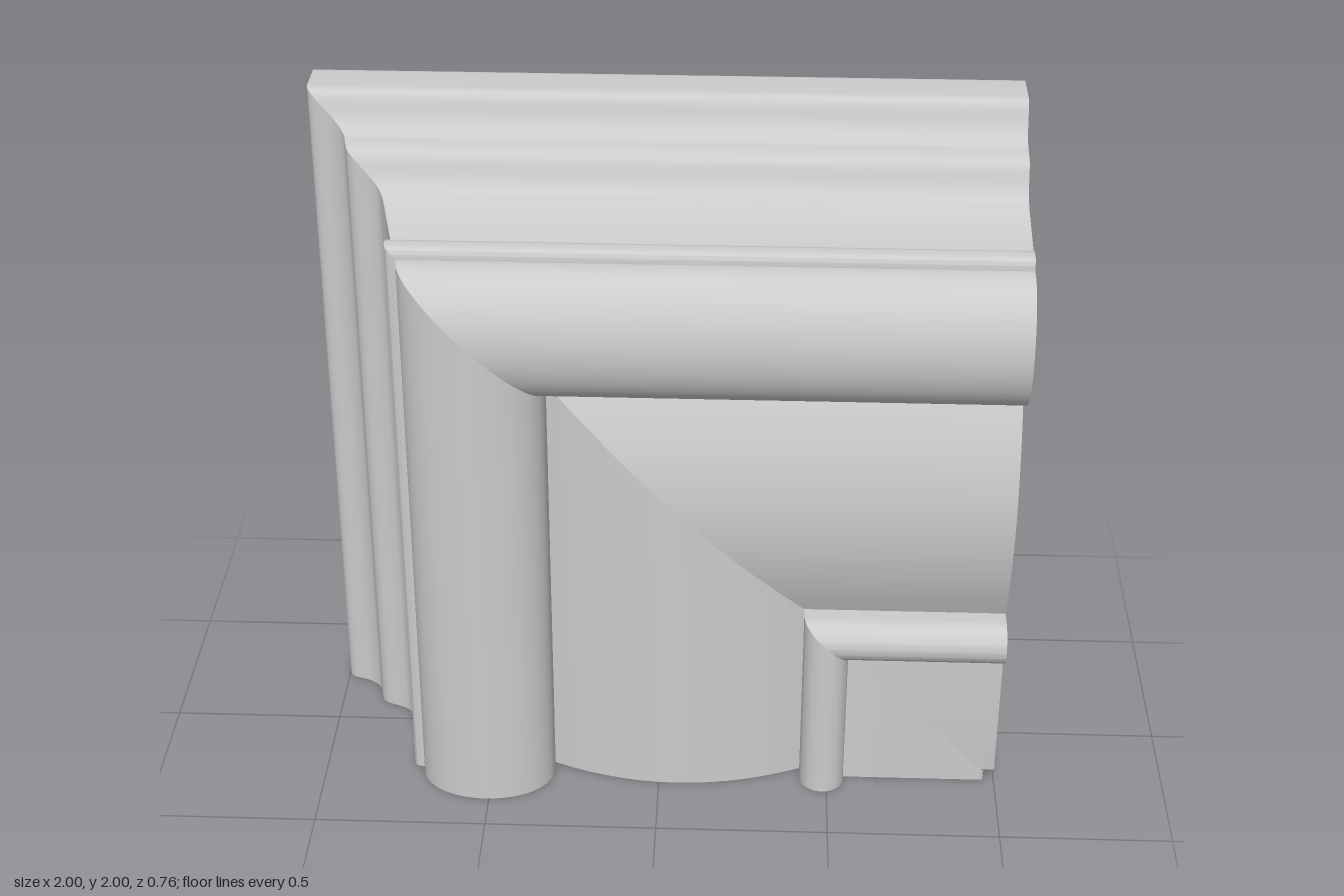
import * as THREE from 'three';
import { toCreasedNormals } from 'three/addons/utils/BufferGeometryUtils.js';

const WALL = 0.012;

// Moulding cross-section: x = distance from the outer edge, y = depth towards the front
function mouldingProfile() {
  const s = new THREE.Shape();
  s.moveTo(0, -0.35);
  s.lineTo(0, -0.25);
  // stepped ogee on the outer edge
  s.bezierCurveTo(0, -0.2, 0.05, -0.215, 0.085, -0.185);
  s.bezierCurveTo(0.12, -0.16, 0.11, -0.14, 0.118, -0.12);
  s.bezierCurveTo(0.125, -0.07, 0.16, -0.08, 0.2, -0.055);
  s.bezierCurveTo(0.225, -0.04, 0.225, -0.015, 0.233, 0);
  s.lineTo(0.271, 0.16);
  // small lip
  s.bezierCurveTo(0.272, 0.175, 0.26, 0.175, 0.26, 0.19);
  s.bezierCurveTo(0.26, 0.225, 0.263, 0.235, 0.295, 0.235);
  // large rounded moulding
  s.absellipse(0.49, 0.245, 0.195, 0.138, Math.PI, 0, true);
  s.lineTo(0.685, 0.2);
  // gently bowed panel
  s.quadraticCurveTo(1.05, 0.37, 1.42, 0.2);
  // bead
  s.absellipse(1.485, 0.245, 0.065, 0.065, Math.PI, 0, true);
  // flat inner strip, inner edge and back
  s.lineTo(1.55, 0.235);
  s.lineTo(1.955, 0.235);
  s.quadraticCurveTo(1.97, 0.235, 1.97, 0.22);
  s.lineTo(1.97, -0.36);
  s.quadraticCurveTo(1.97, -0.38, 1.95, -0.38);
  s.lineTo(0.03, -0.38);
  s.quadraticCurveTo(0, -0.38, 0, -0.35);
  const pts = s.getPoints(14);
  return pts.filter((p, i) => p.distanceTo(pts[(i + 1) % pts.length]) > 1e-4);
}

// Shifts a closed outline inwards by the wall thickness
function inset(pts, amount) {
  const n = pts.length;
  const side = (a, b) => new THREE.Vector2(b.y - a.y, a.x - b.x).normalize();
  return pts.map((p, i) => {
    const n1 = side(pts[(i + n - 1) % n], p);
    const n2 = side(p, pts[(i + 1) % n]);
    const m = n1.clone().add(n2).normalize();
    return p.clone().addScaledVector(m, amount / Math.max(0.6, m.dot(n1)));
  });
}

// Hollow rail, open at both ends; place() maps section and length to the mitred position
function rail(name, place, material) {
  const outline = mouldingProfile();
  const shape = new THREE.Shape(outline);
  shape.holes.push(new THREE.Path(inset(outline, WALL)));
  const geo = new THREE.ExtrudeGeometry(shape, { depth: 1, bevelEnabled: false, steps: 1 });
  const pos = geo.attributes.position;
  for (let i = 0; i < pos.count; i++) {
    pos.setXYZ(i, ...place(pos.getX(i), pos.getY(i), pos.getZ(i)));
  }
  const mesh = new THREE.Mesh(toCreasedNormals(geo, 0.6), material);
  mesh.name = name;
  return mesh;
}

export function createModel() {
  const group = new THREE.Group();
  group.name = 'mitredFrameCorner';
  const material = new THREE.MeshStandardMaterial({ color: 0xcccccc, side: THREE.DoubleSide });
  // both rails shorten with distance from the outer edge to form the 45 degree mitre
  group.add(rail('topRail', (d, z, t) => [1 - t * (2 - d), 2 - d, z], material));
  group.add(rail('sideRail', (d, z, t) => [d - 1, (2 - d) * (1 - t), z], material));
  return group;
}
